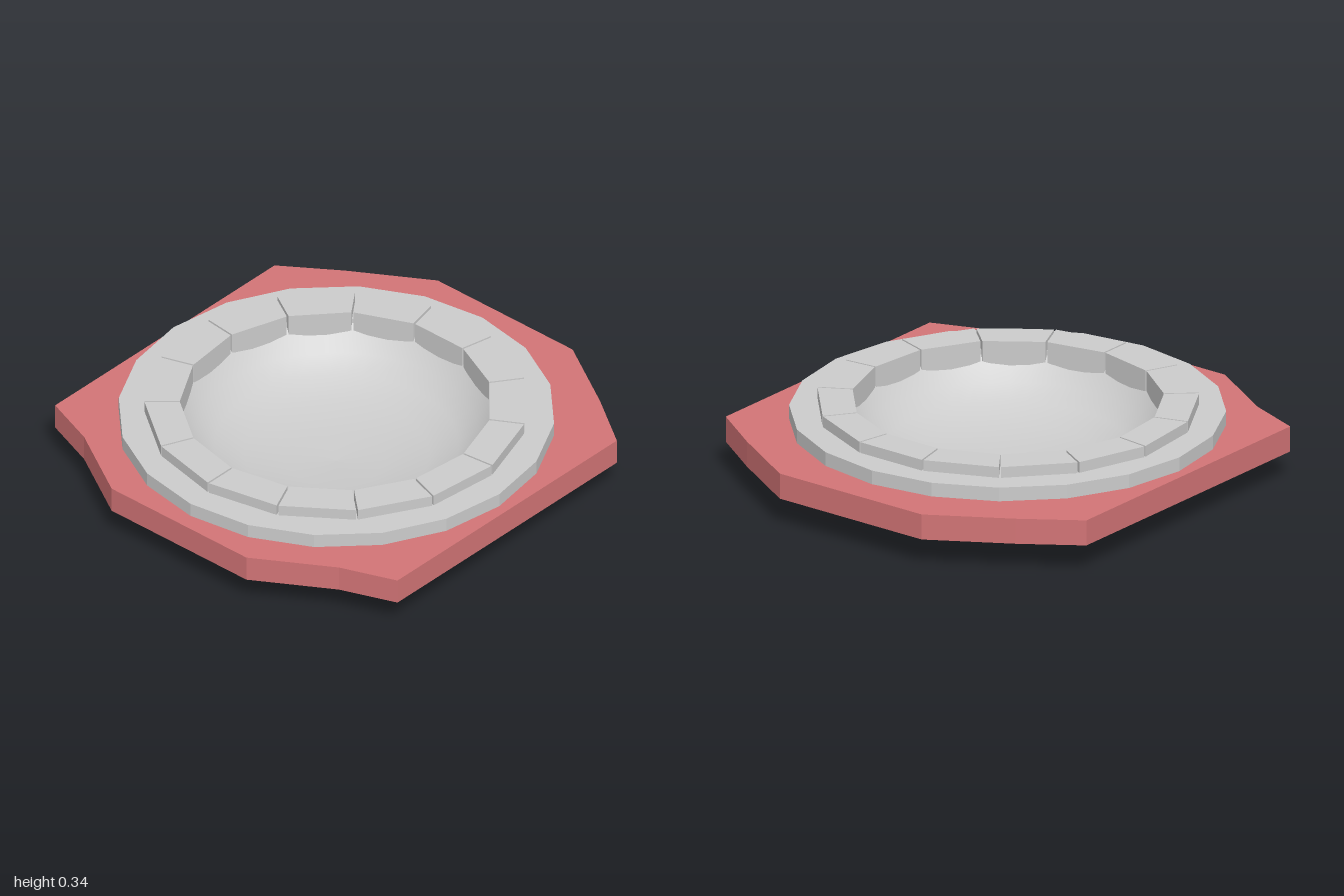
import * as THREE from 'three';

const CX = -0.035; // centre of the round parts
const grey = new THREE.MeshStandardMaterial({ color: 0xcccccc, flatShading: true });
const greySmooth = new THREE.MeshStandardMaterial({ color: 0xcccccc, side: THREE.DoubleSide });
const red = new THREE.MeshStandardMaterial({ color: 0xd27476, flatShading: true, side: THREE.DoubleSide });
const redSmooth = new THREE.MeshStandardMaterial({ color: 0xd27476, side: THREE.DoubleSide });

function add(group, name, geometry, material, x = 0, y = 0) {
  const mesh = new THREE.Mesh(geometry, material);
  mesh.name = name;
  mesh.position.set(x, y, 0);
  group.add(mesh);
  return mesh;
}

const circlePoints = (r, n, cx = 0) => Array.from({ length: n }, (_, i) => {
  const a = (i / n) * Math.PI * 2;
  return new THREE.Vector2(cx + r * Math.cos(a), r * Math.sin(a));
});

// Lay a flat outline on the ground plane, raised by the given height
const slab = (shape, height) =>
  new THREE.ExtrudeGeometry(shape, { depth: height, bevelEnabled: false }).rotateX(-Math.PI / 2);

const lathe = (pts, n) => new THREE.LatheGeometry(pts.map(([r, y]) => new THREE.Vector2(r, y)), n);

export function createModel() {
  const model = new THREE.Group();
  model.name = 'basin';

  // Base plate: open underneath, with a top face and a hanging skirt
  const half = [[1, 0.37], [0.8, 0.7], [0.635, 0.94], [-0.71, 0.94], [-0.8, 0.7], [-1, 0.37]];
  const outline = [...half, ...half.map(([x, z]) => [x, -z]).reverse()];
  const plate = new THREE.Shape(outline.map(([x, z]) => new THREE.Vector2(x, z)));
  plate.holes.push(new THREE.Path(circlePoints(0.875, 20, CX)));
  add(model, 'plateTop', new THREE.ShapeGeometry(plate).rotateX(-Math.PI / 2), red, 0, 0.23);

  const skirt = new THREE.CylinderGeometry(1, 1, 0.11, outline.length, 1, true);
  const pos = skirt.attributes.position;
  for (let i = 0; i < pos.count; i++) {
    // the cylinder turns from +z to +x, so walk the outline backwards
    const k = i % (outline.length + 1);
    const [x, z] = outline[(outline.length - k) % outline.length];
    pos.setX(i, x);
    pos.setZ(i, z);
  }
  add(model, 'plateSkirt', skirt, red, 0, 0.175);

  // Shallow hull under the plate, its rim shifted slightly to the right side
  const hull = lathe([[0, 0], [0.385, 0.02], [0.62, 0.12], [0.875, 0.228]], 40);
  const hp = hull.attributes.position;
  for (let i = 0; i < hp.count; i++) {
    hp.setX(i, hp.getX(i) - 0.045 * Math.max(0, (hp.getY(i) - 0.02) / 0.21));
  }
  hull.computeVertexNormals();
  add(model, 'hull', hull, redSmooth, CX);

  // Twenty-sided flat ring
  const ring = new THREE.Shape(circlePoints(0.895, 20));
  ring.holes.push(new THREE.Path(circlePoints(0.66, 30)));
  add(model, 'ring', slab(ring, 0.06), grey, CX, 0.23);

  // Smooth inner bowl
  const bowl = lathe([[0, 0.04], [0.2, 0.047], [0.38, 0.075], [0.5, 0.12], [0.58, 0.175],
    [0.63, 0.235], [0.67, 0.28]], 48);
  add(model, 'bowl', bowl, greySmooth, CX);

  // Fifteen rim blocks with narrow joints
  const count = 15, step = (Math.PI * 2) / count, gap = 0.004;
  const corner = (r, side) => {
    const a = (side * step) / 2;
    return new THREE.Vector2(r * Math.cos(a) + gap * Math.sin(step / 2),
      r * Math.sin(a) - side * gap * Math.cos(step / 2));
  };
  const block = slab(new THREE.Shape([corner(0.64, -1), corner(0.785, -1), corner(0.785, 1), corner(0.64, 1)]), 0.115);
  const blocks = new THREE.Group();
  blocks.name = 'rimBlocks';
  for (let i = 0; i < count; i++) {
    add(blocks, 'rimBlock', block, grey, 0, 0.222).rotation.y = Math.PI + (i + 0.5) * step;
  }
  blocks.position.x = CX;
  model.add(blocks);

  return model;
}
